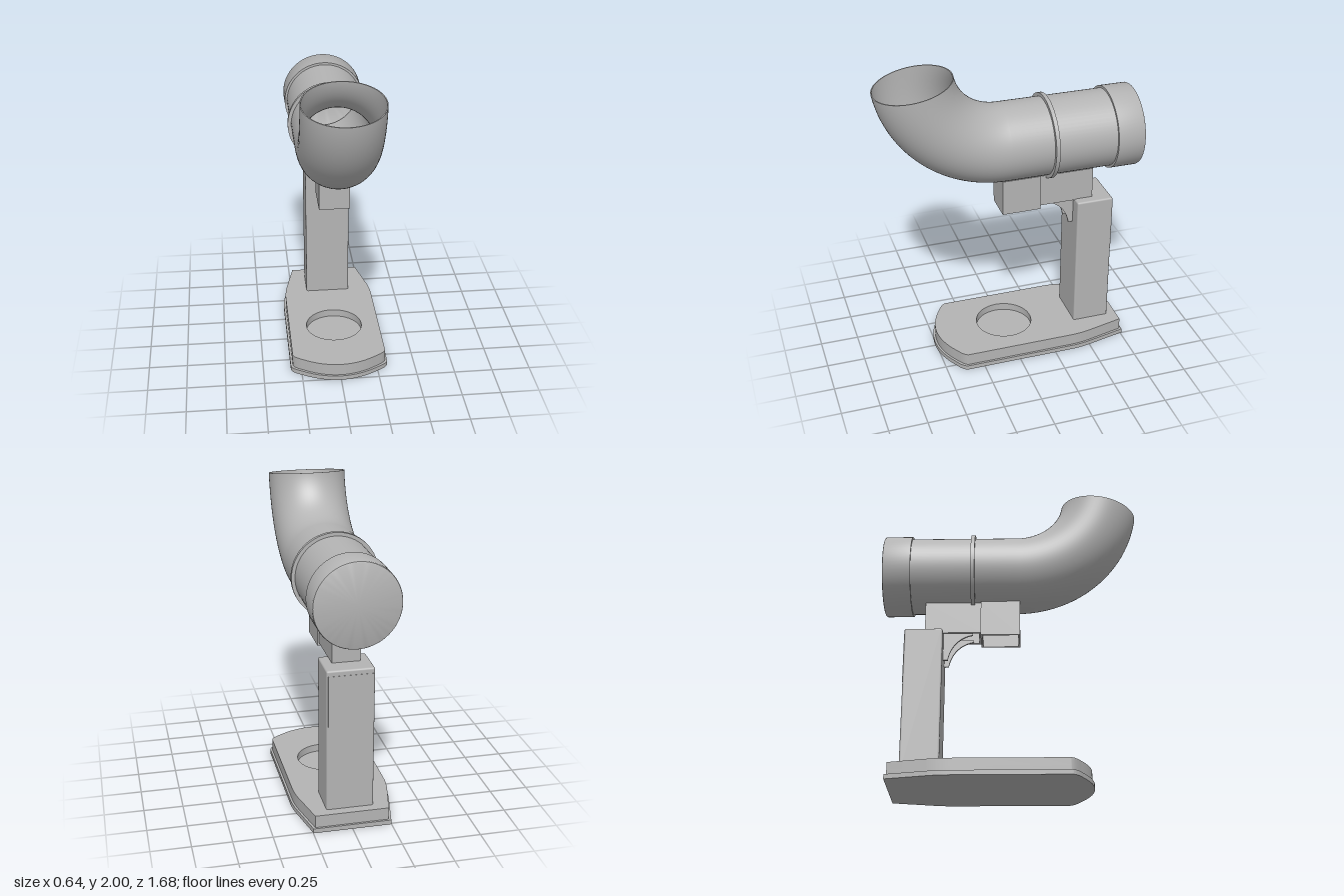
import * as THREE from 'three';
import { toCreasedNormals } from 'three/addons/utils/BufferGeometryUtils.js';
import { RoundedBoxGeometry } from 'three/addons/geometries/RoundedBoxGeometry.js';

export function createModel() {
  const group = new THREE.Group();
  const grey = new THREE.MeshStandardMaterial({ color: 0xb4b4b4, side: THREE.DoubleSide });
  grey.name = 'plain grey';

  const add = (name, geometry, x = 0, y = 0, z = 0) => {
    const mesh = new THREE.Mesh(geometry, grey);
    mesh.name = name;
    mesh.position.set(x, y, z);
    group.add(mesh);
    return mesh;
  };

  // Upright slab from a plan outline (shape y runs towards -z)
  const slab = (shape, height) => {
    const g = new THREE.ExtrudeGeometry(shape, { depth: height, bevelEnabled: false, curveSegments: 32 });
    return toCreasedNormals(g.rotateX(-Math.PI / 2), 0.6);
  };

  // Base outline: tapered back, straight sides, bowed front, inset by d
  const baseShape = (d) => {
    const s = new THREE.Shape();
    const w = 0.32 - d;
    s.moveTo(-0.248 + d, 0.76 - d);
    s.lineTo(-0.305 + d, 0.5);
    s.quadraticCurveTo(-w, 0.43, -w, 0.36);
    s.lineTo(-w, -0.36 + d / 2);
    s.quadraticCurveTo(-w, -0.395 + d, -0.25 + d / 2, -0.43 + d);
    s.quadraticCurveTo(0, -0.59 + d, 0.25 - d / 2, -0.43 + d);
    s.quadraticCurveTo(w, -0.395 + d, w, -0.36 + d / 2);
    s.lineTo(w, 0.36);
    s.quadraticCurveTo(w, 0.43, 0.305 - d, 0.5);
    s.lineTo(0.248 - d, 0.76 - d);
    s.closePath();
    return s;
  };

  // Base: plinth, body and a top layer with the round recess
  add('basePlinth', slab(baseShape(0), 0.03));
  add('baseBody', slab(baseShape(0.014), 0.03), 0, 0.03, 0);
  const top = baseShape(0.014);
  top.holes.push(new THREE.Path().absarc(0, -0.02, 0.188, 0, Math.PI * 2, true));
  add('baseTop', slab(top, 0.05), 0, 0.06, 0);

  // Post with a thin panel on its back
  add('post', new RoundedBoxGeometry(0.3, 0.96, 0.245, 3, 0.012), 0, 0.56, -0.5625);
  add('backPanel', new THREE.BoxGeometry(0.28, 0.33, 0.004), 0, 0.84, -0.685);

  // Curved gusset ribs on the front of the post
  const rib = new THREE.Shape();
  rib.moveTo(-0.45, 0.855);
  rib.lineTo(-0.41, 0.855);
  rib.bezierCurveTo(-0.395, 0.95, -0.335, 1.015, -0.25, 1.03);
  rib.lineTo(-0.25, 1.045);
  rib.lineTo(-0.45, 1.045);
  rib.closePath();
  for (const x of [-0.055, 0.055]) {
    const g = new THREE.ExtrudeGeometry(rib, { depth: 0.012, bevelEnabled: false, curveSegments: 16 });
    add('gussetRib', toCreasedNormals(g.rotateY(-Math.PI / 2), 0.6), x + 0.006, 0, 0);
  }

  // Hollow square sleeves between post and pipe
  const sleeve = (name, w, z0, z1, y0, y1, t = 0.012) => {
    const rect = (path, i) => path.moveTo(-w + i, -z1 + i).lineTo(w - i, -z1 + i)
      .lineTo(w - i, -z0 - i).lineTo(-w + i, -z0 - i).closePath();
    const s = new THREE.Shape();
    rect(s, 0);
    const hole = new THREE.Path();
    rect(hole, t);
    s.holes.push(hole);
    add(name, slab(s, y1 - y0), 0, y0, 0);
  };
  sleeve('frontSleeve', 0.1, -0.2, 0.055, 1.015, 1.255);
  sleeve('rearSleeve', 0.09, -0.56, -0.2, 1.035, 1.25);

  // Pipe: straight run and 80 degree elbow, outer and inner walls
  const axisY = 1.4925, bendR = 0.5615, bendY = axisY + bendR, bendZ = 0.036;
  const sweep = THREE.MathUtils.degToRad(80);
  for (const [side, r] of [['Outer', 0.2525], ['Inner', 0.246]]) {
    const length = bendZ + 0.8;
    const straight = new THREE.CylinderGeometry(r, r, length, 64, 1, true).rotateX(Math.PI / 2);
    add('pipe' + side, straight, 0, axisY, bendZ - length / 2);
    const bend = new THREE.TorusGeometry(bendR, r, 64, 40, sweep);
    bend.rotateZ(-Math.PI / 2).rotateY(-Math.PI / 2);
    add('elbow' + side, bend, 0, bendY, bendZ);
  }
  const rim = add('elbowRim', new THREE.RingGeometry(0.246, 0.2525, 64), 0,
    bendY - bendR * Math.cos(sweep), bendZ + bendR * Math.sin(sweep));
  rim.rotation.x = -sweep;

  // Turned collar and end cap, profile given as radius and distance back
  const turned = (name, points) => {
    const g = new THREE.LatheGeometry(points.map(([r, d]) => new THREE.Vector2(r, d)), 64);
    add(name, toCreasedNormals(g.rotateX(-Math.PI / 2), 0.5), 0, axisY, 0);
  };
  turned('collar', [[0.25, 0.238], [0.275, 0.238], [0.275, 0.264], [0.25, 0.264]]);
  turned('endCap', [[0.25, 0.655], [0.2675, 0.655], [0.2675, 0.828], [0.264, 0.835], [0.257, 0.838], [0, 0.838]]);

  return group;
}
